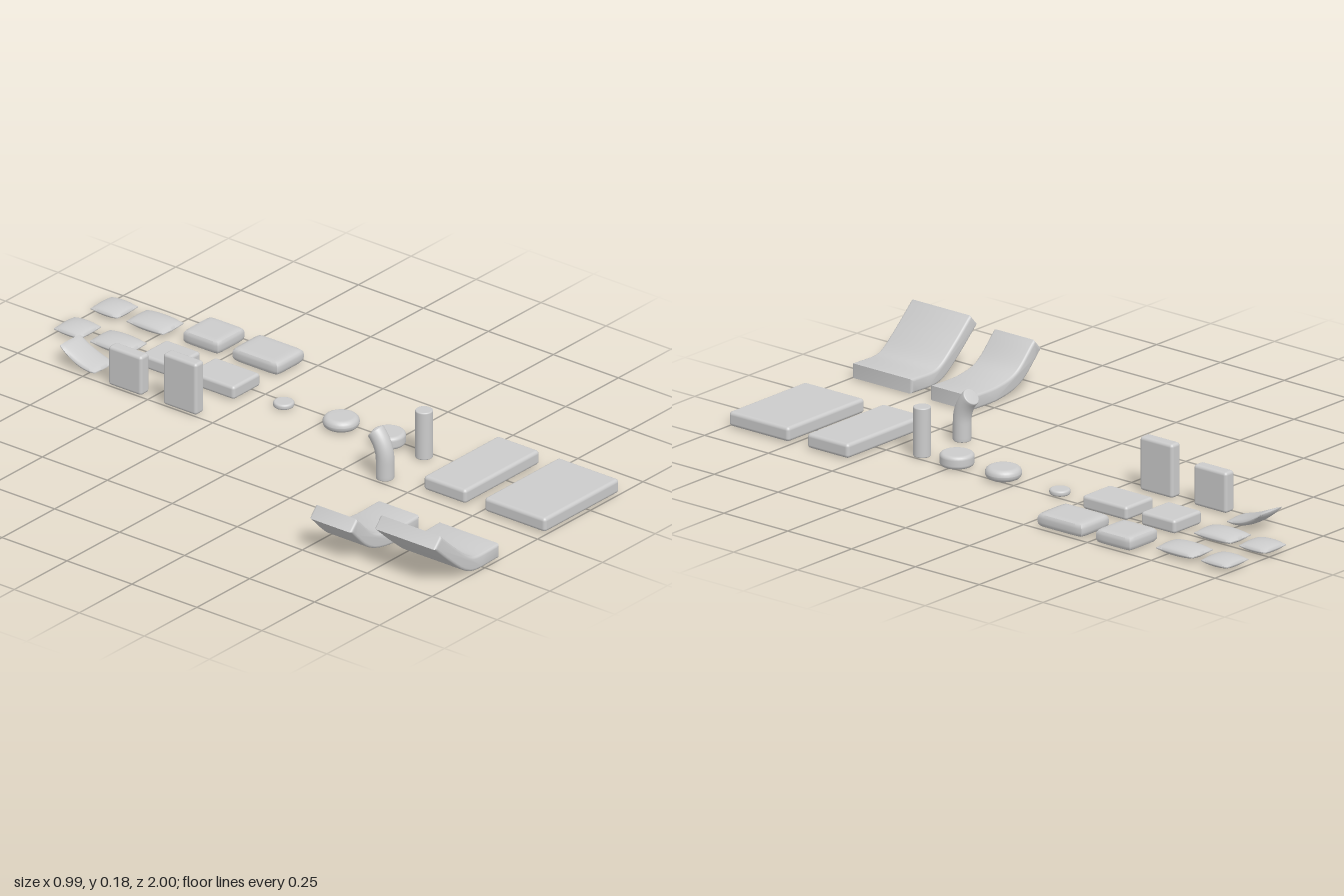
import * as THREE from 'three';
import { toCreasedNormals } from 'three/addons/utils/BufferGeometryUtils.js';
import { RoundedBoxGeometry } from 'three/addons/geometries/RoundedBoxGeometry.js';

const material = new THREE.MeshStandardMaterial({ color: 0xcccccc });

// Crease at a large scale so that close vertices stay distinct
function crease(geo, angle) {
  geo.scale(100, 100, 100);
  return toCreasedNormals(geo, angle).scale(0.01, 0.01, 0.01);
}

function moveVertices(geo, rule) {
  const p = geo.attributes.position;
  const v = new THREE.Vector3();
  for (let i = 0; i < p.count; i++) {
    rule(v.fromBufferAttribute(p, i));
    p.setXYZ(i, v.x, v.y, v.z);
  }
  return geo;
}

// Round part with softened rims, standing on y = 0
function roundPart(radius, height, fillet, sideSteps = 1) {
  const pts = [new THREE.Vector2(0, 0)];
  for (let i = 0; i <= 5; i++) {
    const a = (i / 5) * Math.PI / 2;
    pts.push(new THREE.Vector2(radius - fillet + fillet * Math.sin(a), fillet * (1 - Math.cos(a))));
  }
  for (let i = 1; i < sideSteps; i++) {
    pts.push(new THREE.Vector2(radius, fillet + (height - 2 * fillet) * i / sideSteps));
  }
  for (let i = 0; i <= 5; i++) {
    const a = (i / 5) * Math.PI / 2;
    pts.push(new THREE.Vector2(radius - fillet + fillet * Math.cos(a), height - fillet + fillet * Math.sin(a)));
  }
  pts.push(new THREE.Vector2(0, height));
  return new THREE.LatheGeometry(pts, 32);
}

// Straight up to y0, then curved backwards along an arc
function bendBack(geo, y0, radius) {
  moveVertices(geo, v => {
    if (v.y <= y0) return;
    const a = (v.y - y0) / radius;
    const z = v.z;
    v.y = y0 + radius * Math.sin(a) + z * Math.sin(a);
    v.z = z * Math.cos(a) - radius * (1 - Math.cos(a));
  });
  return crease(geo, 0.6);
}

// Cushion slab following a bent centre line in x and y
function bentSlab(path, thickness, depth) {
  const curve = new THREE.CatmullRomCurve3(path.map(([x, y]) => new THREE.Vector3(x, y, 0)));
  const upper = [], lower = [];
  for (let i = 0; i <= 28; i++) {
    const p = curve.getPointAt(i / 28), t = curve.getTangentAt(i / 28);
    const nx = t.y * thickness / 2, ny = -t.x * thickness / 2;
    upper.push(new THREE.Vector2(p.x + nx, p.y + ny));
    lower.unshift(new THREE.Vector2(p.x - nx, p.y - ny));
  }
  const r = 0.008;
  const geo = new THREE.ExtrudeGeometry(new THREE.Shape([...upper, ...lower]), {
    depth: depth - 2 * r, bevelThickness: r, bevelSize: r, bevelOffset: -r, bevelSegments: 3,
  });
  geo.translate(0, 0, r - depth / 2);
  return crease(geo, 0.6);
}

// Stuffed cushion: full sides, softened rim, slightly pulled-out corners
function stuffedCushion(w, h, d) {
  const geo = moveVertices(new THREE.BoxGeometry(w, h, d, 16, 6, 16), v => {
    const u = 2 * v.x / w, s = 2 * v.y / h, t = 2 * v.z / d;
    const rim = Math.max(Math.abs(u), Math.abs(t)) ** 10;
    v.x *= (1 - 0.07 * s ** 4) * (1 - 0.05 * t ** 6);
    v.z *= (1 - 0.07 * s ** 4) * (1 - 0.05 * u ** 6);
    v.y *= 1 - 0.15 * rim;
  });
  return crease(geo, 0.7);
}

// Pillow with thin seams, optionally curling up towards its back edge
function pillow(w, h, d, curl = 0) {
  const geo = moveVertices(new THREE.BoxGeometry(w, h, d, 16, 1, 16), v => {
    const u = 2 * v.x / w, t = 2 * v.z / d;
    const fullness = Math.sqrt(Math.max(0, (1 - u * u) * (1 - t * t)));
    v.y *= 0.1 + 0.9 * fullness;
    v.x *= 1 - 0.08 * t * t;
    v.z *= 1 - 0.04 * u * u;
    v.y += curl * ((1 - t) / 2) ** 2;
  });
  return crease(geo, 0.9);
}

export function createModel() {
  const model = new THREE.Group();
  const add = (name, geo, x, y, z) => {
    const mesh = new THREE.Mesh(geo, material);
    mesh.name = name;
    mesh.position.set(x, y, z);
    model.add(mesh);
  };

  // Flat and bent mattresses
  const wide = 0.235, narrow = 0.162;
  add('wideMattress', new RoundedBoxGeometry(0.355, 0.046, wide, 4, 0.011), 0.218, 0.027, 0.878);
  add('narrowMattress', new RoundedBoxGeometry(0.355, 0.046, narrow, 4, 0.011), 0.218, 0.027, 0.608);
  add('wideBentMattress', bentSlab(
    [[-0.175, 0.028], [-0.29, 0.028], [-0.325, 0.042], [-0.395, 0.098], [-0.466, 0.163]], 0.046, wide), 0, 0, 0.878);
  add('narrowBentMattress', bentSlab(
    [[-0.175, 0.027], [-0.305, 0.027], [-0.395, 0.05], [-0.486, 0.133]], 0.046, narrow), 0, 0, 0.608);

  // Bolsters
  add('bolster', roundPart(0.027, 0.157, 0.004), 0.22, 0.001, 0.385);
  add('bentBolster', bendBack(roundPart(0.028, 0.157, 0.004, 16), 0.06, 0.12), 0.035, 0.001, 0.385);

  // Round cushions
  add('roundSeatCushion', roundPart(0.053, 0.041, 0.012), 0.22, 0.003, 0.248);
  add('roundPillow', roundPart(0.056, 0.037, 0.018), 0.22, 0.003, 0.066);
  add('smallRoundPad', roundPart(0.032, 0.018, 0.007), 0.22, 0.002, -0.155);

  // Seat cushions in two sizes, firm and stuffed, with upright back cushions
  const seats = [
    { size: 'large', z: -0.381, d: 0.174, backZ: -0.379, backH: 0.17 },
    { size: 'small', z: -0.59, d: 0.133, backZ: -0.59, backH: 0.129 },
  ];
  for (const { size, z, d, backZ, backH } of seats) {
    add(size + 'SeatCushion', new RoundedBoxGeometry(0.128, 0.043, d, 4, 0.01), 0.218, 0.0245, z);
    add(size + 'StuffedCushion', stuffedCushion(0.134, 0.044, d + 0.006), 0.425, 0.0245, z);
    add(size + 'BackCushion', new RoundedBoxGeometry(0.041, backH, 0.128, 4, 0.01), 0.021, 0.003 + backH / 2, backZ);
  }

  // Scatter pillows
  for (const x of [0.218, 0.393]) {
    add('largePillow', pillow(0.106, 0.034, 0.146), x, 0.018, -0.79);
    add('smallPillow', pillow(0.108, 0.03, 0.106), x, 0.018, -0.947);
  }
  add('curledPillow', pillow(0.104, 0.032, 0.138, 0.05), 0.066, 0.014, -0.786);

  return model;
}
